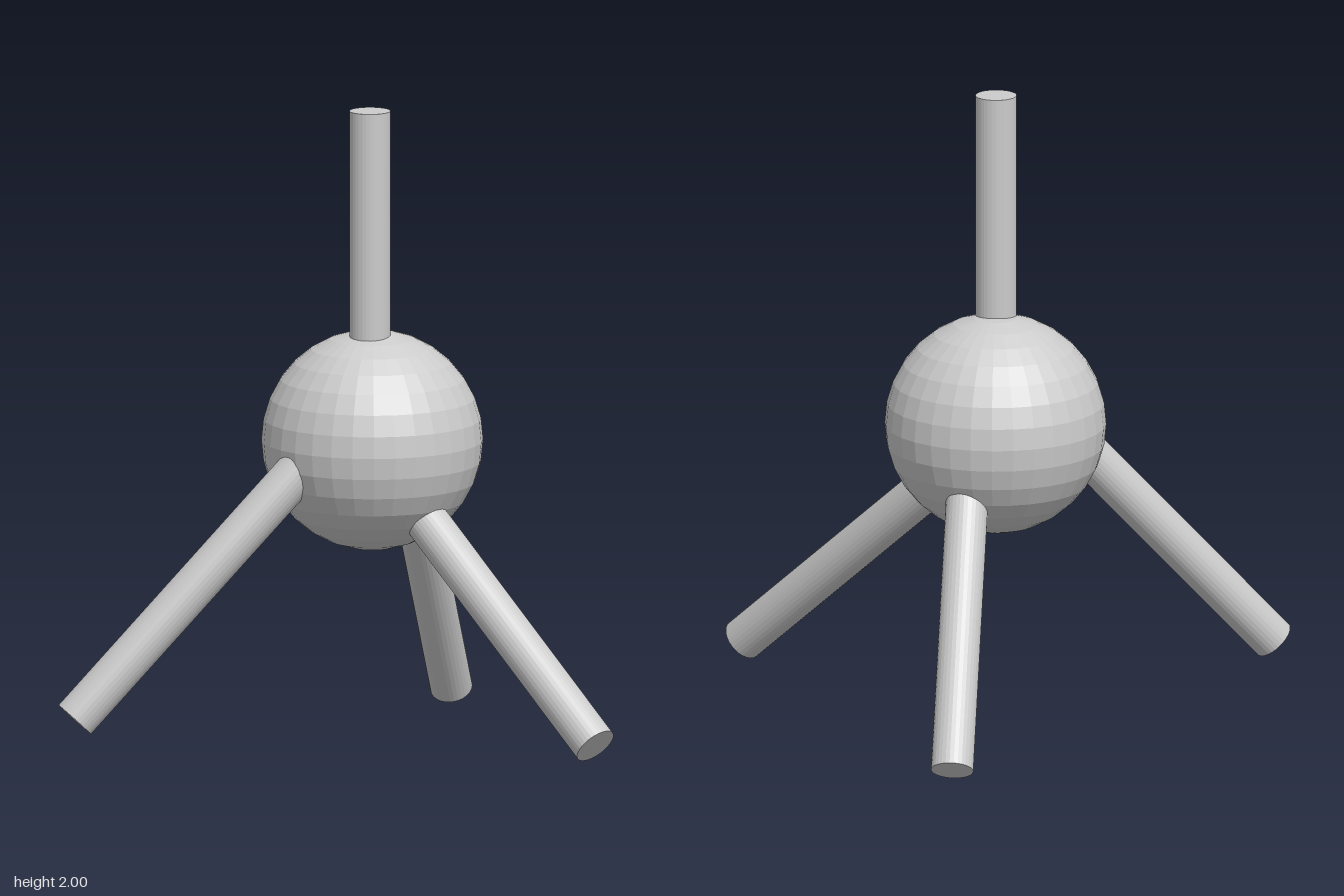
import * as THREE from 'three';

const material = new THREE.MeshStandardMaterial({ color: 0xcccccc, flatShading: true });

// Straight round rod from an inner point to its outer end
function rod(name, radius, inner, outer) {
  const a = new THREE.Vector3(...inner);
  const b = new THREE.Vector3(...outer);
  const axis = b.clone().sub(a);
  const mesh = new THREE.Mesh(new THREE.CylinderGeometry(radius, radius, axis.length(), 32), material);
  mesh.name = name;
  mesh.position.copy(a).add(b).multiplyScalar(0.5);
  mesh.quaternion.setFromUnitVectors(new THREE.Vector3(0, 1, 0), axis.normalize());
  return mesh;
}

export function createModel() {
  const model = new THREE.Group();
  model.name = 'tetrahedralJoint';

  // Central ball
  const ball = new THREE.Mesh(new THREE.SphereGeometry(0.345, 32, 16), material);
  ball.name = 'centralBall';
  ball.position.set(-0.26, 0.955, -0.095);
  model.add(ball);

  // Upright rod and three splayed legs, each starting inside the ball
  model.add(
    rod('topRod', 0.064, [-0.24, 1.0, -0.064], [-0.24, 2.0, -0.064]),
    rod('leftLeg', 0.068, [-0.2, 0.875, -0.096], [0.706, 0.108, -0.096]),
    rod('frontLeg', 0.068, [-0.266, 0.95, 0.148], [-0.685, 0.131, 0.796]),
    rod('backLeg', 0.066, [-0.279, 0.89, -0.26], [-0.594, 0.039, -0.792]),
  );
  return model;
}
